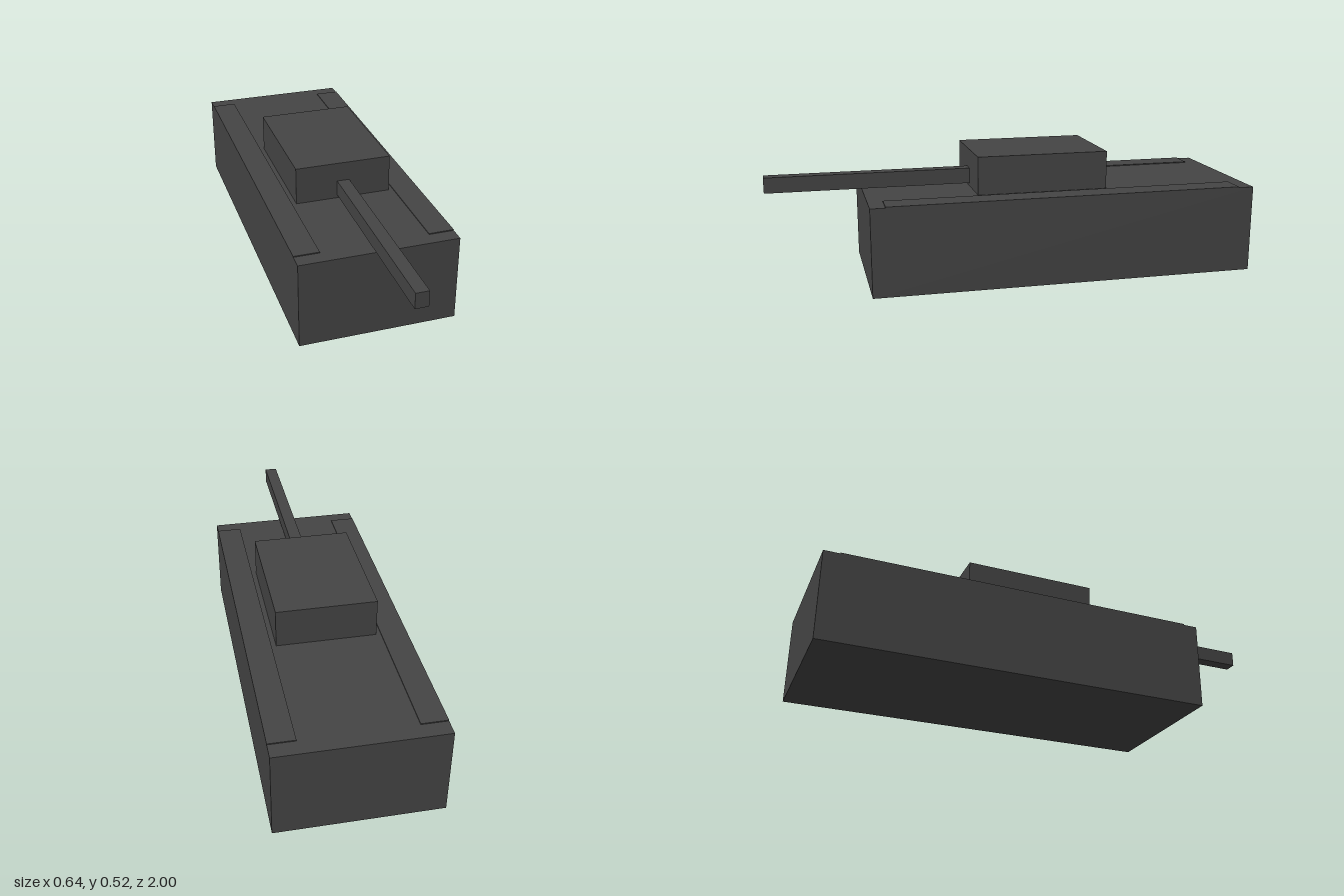
import * as THREE from 'three';

export function createModel() {
  const model = new THREE.Group();
  model.name = 'tank';
  const material = new THREE.MeshStandardMaterial({ color: 0x444444 });

  // Box given by its extents along each axis
  const block = (name, [x0, x1], [y0, y1], [z0, z1]) => {
    const mesh = new THREE.Mesh(new THREE.BoxGeometry(x1 - x0, y1 - y0, z1 - z0), material);
    mesh.position.set((x0 + x1) / 2, (y0 + y1) / 2, (z0 + z1) / 2);
    mesh.name = name;
    model.add(mesh);
  };

  const deck = 0.363;
  block('hull', [-0.322, 0.322], [0, deck], [-1, 0.606]);

  // Thin track covers standing just proud of the deck
  block('leftTrackCover', [0.219, 0.322], [deck, 0.367], [-0.935, 0.545]);
  block('rightTrackCover', [-0.322, -0.219], [deck, 0.367], [-0.935, 0.545]);

  block('turret', [-0.2, 0.2], [deck, 0.52], [-0.389, 0.157]);
  block('gunBarrel', [-0.026, 0.026], [0.376, 0.44], [0.157, 1]);

  return model;
}
